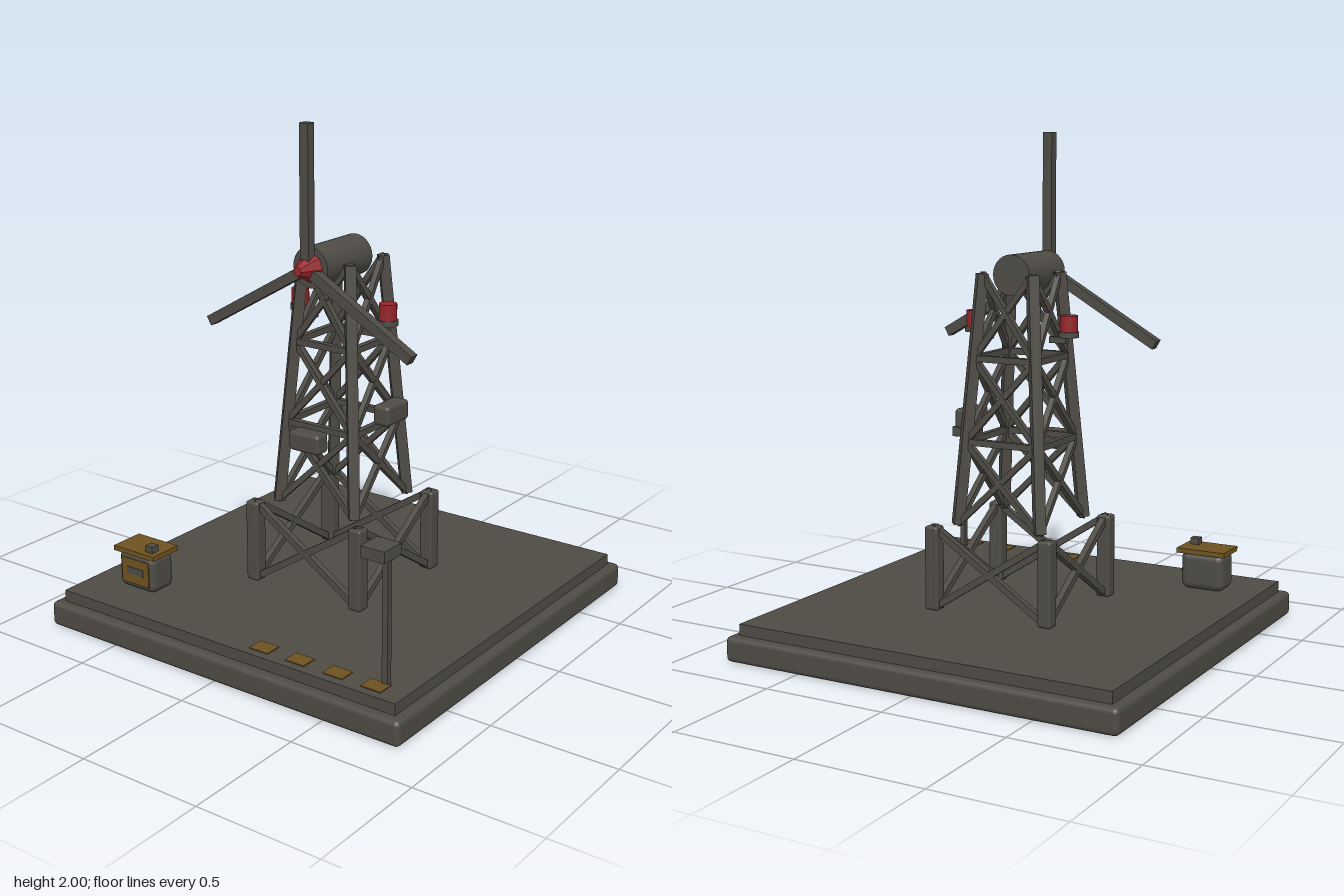
import * as THREE from 'three';
import { RoundedBoxGeometry } from 'three/addons/geometries/RoundedBoxGeometry.js';

const material = (name, color) => {
  const m = new THREE.MeshStandardMaterial({ color });
  m.name = name;
  return m;
};

export function createModel() {
  const steel = material('dark steel', 0x4e4b45);
  const ochre = material('ochre paint', 0x6e5220);
  const red = material('signal red', 0x962529);
  const model = new THREE.Group();
  model.name = 'windTurbineStation';

  const group = (name) => {
    const g = new THREE.Group();
    g.name = name;
    model.add(g);
    return g;
  };
  const add = (parent, name, geometry, mat, x, y, z) => {
    const mesh = new THREE.Mesh(geometry, mat);
    mesh.name = name;
    mesh.position.set(x, y, z);
    parent.add(mesh);
    return mesh;
  };
  const box = (parent, name, mat, w, h, d, x, y, z) =>
    add(parent, name, new THREE.BoxGeometry(w, h, d), mat, x, y, z);
  const rounded = (parent, name, mat, w, h, d, r, x, y, z) =>
    add(parent, name, new RoundedBoxGeometry(w, h, d, 3, r), mat, x, y, z);
  // Square bar between two points
  const bar = (parent, name, a, b, t) => {
    const mid = a.clone().add(b).multiplyScalar(0.5);
    const mesh = box(parent, name, steel, t, t, a.distanceTo(b), mid.x, mid.y, mid.z);
    mesh.lookAt(b);
    return mesh;
  };
  const corners = [[1, 1], [1, -1], [-1, -1], [-1, 1]];

  // Ground platform
  const platform = group('platform');
  rounded(platform, 'foundation', steel, 1.66, 0.1, 1.66, 0.02, 0, 0.05, 0);
  box(platform, 'deck', steel, 1.58, 0.045, 1.58, 0, 0.1225, 0);
  for (const x of [0.163, 0.328, 0.497, 0.663])
    box(platform, 'floorMarking', ochre, 0.085, 0.004, 0.068, x, 0.147, 0.722);

  // Pedestal with posts and crossed braces
  const pedestal = group('pedestal');
  corners.forEach(([sx, sz], i) => {
    rounded(pedestal, 'pedestalPost', steel, 0.058, 0.335, 0.058, 0.01, sx * 0.25, 0.3125, sz * 0.25);
    const [nx, nz] = corners[(i + 1) % 4];
    const p = (a, b, y) => new THREE.Vector3(a * 0.25, y, b * 0.25);
    bar(pedestal, 'pedestalBrace', p(sx, sz, 0.15), p(nx, nz, 0.475), 0.026);
    bar(pedestal, 'pedestalBrace', p(sx, sz, 0.475), p(nx, nz, 0.15), 0.026);
  });

  // Tapered lattice tower
  const tower = group('latticeTower');
  const levels = [0.48, 0.807, 1.133, 1.46];
  const at = ([sx, sz], y) => {
    const r = 0.182 - 0.072 * (y - 0.48) / 0.98;
    return new THREE.Vector3(sx * r, y, sz * r);
  };
  corners.forEach((c, i) => {
    const next = corners[(i + 1) % 4];
    bar(tower, 'towerLeg', at(c, 0.48), at(c, 1.46), 0.042);
    for (let k = 0; k < 3; k++) {
      bar(tower, 'towerBrace', at(c, levels[k]), at(next, levels[k + 1]), 0.023);
      bar(tower, 'towerBrace', at(c, levels[k + 1]), at(next, levels[k]), 0.023);
      if (k > 0) bar(tower, 'towerRail', at(c, levels[k]), at(next, levels[k]), 0.025);
    }
  });
  rounded(tower, 'frontJunctionBox', steel, 0.144, 0.08, 0.07, 0.015, 0, 0.775, 0.23);
  rounded(tower, 'sideJunctionBox', steel, 0.074, 0.08, 0.146, 0.015, 0.227, 0.876, 0);

  // Warning beacons on short arms
  for (const s of [-1, 1]) {
    const beacon = group(s > 0 ? 'leftBeacon' : 'rightBeacon');
    box(beacon, 'beaconArm', steel, 0.07, 0.025, 0.025, s * 0.165, 1.208, 0);
    add(beacon, 'beaconBase', new THREE.CylinderGeometry(0.04, 0.04, 0.022, 20), steel, s * 0.209, 1.231, 0);
    add(beacon, 'beaconLamp', new THREE.CylinderGeometry(0.035, 0.035, 0.064, 20), red, s * 0.209, 1.273, 0);
  }

  // Nacelle, hub and three blades
  const rotor = group('rotor');
  const hubY = 1.455;
  add(rotor, 'nacelle', new THREE.CylinderGeometry(0.08, 0.08, 0.29, 28), steel, 0, hubY, 0.065)
    .rotation.x = Math.PI / 2;
  add(rotor, 'hub', new THREE.CylinderGeometry(0.018, 0.06, 0.085, 8).toNonIndexed(), red, 0, hubY, 0.2485)
    .rotation.x = Math.PI / 2;
  const bladeGeometry = new THREE.BoxGeometry(0.04, 0.525, 0.038).translate(0, 0.2825, 0);
  for (let i = 0; i < 3; i++)
    add(rotor, 'blade', bladeGeometry, steel, 0, hubY, 0.229).rotation.z = i * Math.PI * 2 / 3;

  // Generator cabinet with painted roof and front panel
  const cabinet = group('generatorCabinet');
  rounded(cabinet, 'cabinetBody', steel, 0.186, 0.155, 0.126, 0.03, -0.562, 0.2225, 0.561);
  box(cabinet, 'cabinetRoof', ochre, 0.208, 0.02, 0.146, -0.561, 0.305, 0.561);
  box(cabinet, 'exhaust', steel, 0.036, 0.028, 0.036, -0.5, 0.328, 0.592);
  box(cabinet, 'frontPanel', ochre, 0.14, 0.104, 0.006, -0.562, 0.223, 0.624);
  box(cabinet, 'panelVent', steel, 0.084, 0.03, 0.004, -0.561, 0.225, 0.628);

  // Lamp post
  const lamp = group('lampPost');
  box(lamp, 'lampPole', steel, 0.024, 0.5, 0.024, 0.682, 0.395, 0.686);
  box(lamp, 'lampHead', steel, 0.1, 0.044, 0.103, 0.683, 0.667, 0.727);

  // Facet the hub
  rotor.getObjectByName('hub').geometry.computeVertexNormals();
  return model;
}
